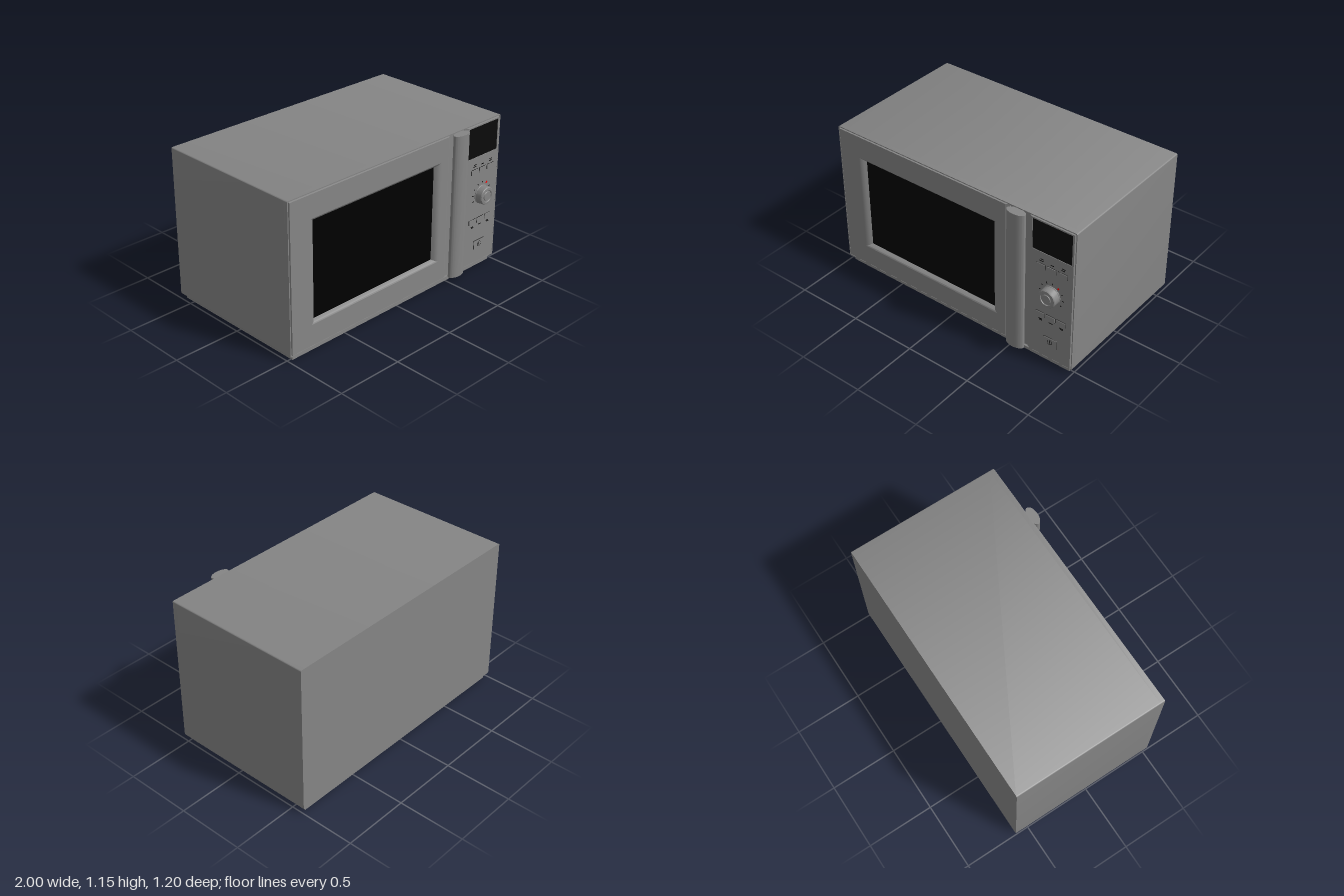
import * as THREE from 'three';
import { toCreasedNormals } from 'three/addons/utils/BufferGeometryUtils.js';

const grey = new THREE.MeshStandardMaterial({ color: 0x858585 });
const black = new THREE.MeshStandardMaterial({ color: 0x000000 });
const displayBlack = new THREE.MeshStandardMaterial({ color: 0x0a0a0a });
const red = new THREE.MeshStandardMaterial({ color: 0xff0000 });

// rounded rectangle outline
function roundRect(Type, x0, y0, x1, y1, r) {
  const s = new Type();
  s.moveTo(x0 + r, y0).lineTo(x1 - r, y0);
  s.absarc(x1 - r, y0 + r, r, -Math.PI / 2, 0);
  s.absarc(x1 - r, y1 - r, r, 0, Math.PI / 2);
  s.absarc(x0 + r, y1 - r, r, Math.PI / 2, Math.PI);
  s.absarc(x0 + r, y0 + r, r, Math.PI, Math.PI * 1.5);
  return s;
}

// surface through successive rectangles [x0, y0, x1, y1, z], outermost first
function rectLoft(rings) {
  const pos = [];
  const corners = ([x0, y0, x1, y1, z]) => [[x0, y0, z], [x1, y0, z], [x1, y1, z], [x0, y1, z]];
  for (let k = 0; k < rings.length - 1; k++) {
    const a = corners(rings[k]), b = corners(rings[k + 1]);
    for (let i = 0; i < 4; i++) {
      const j = (i + 1) % 4;
      pos.push(...a[i], ...a[j], ...b[j], ...a[i], ...b[j], ...b[i]);
    }
  }
  const g = new THREE.BufferGeometry();
  g.setAttribute('position', new THREE.Float32BufferAttribute(pos, 3));
  return toCreasedNormals(g, 0.45);
}

export function createModel() {
  const model = new THREE.Group();
  const add = (name, geo, mat = grey, x = 0, y = 0, z = 0, parent = model) => {
    const m = new THREE.Mesh(geo, mat);
    m.name = name;
    m.position.set(x, y, z);
    parent.add(m);
    return m;
  };
  const box = (name, x0, x1, y0, y1, z0, z1, mat = grey, parent = model) =>
    add(name, new THREE.BoxGeometry(x1 - x0, y1 - y0, z1 - z0), mat,
      (x0 + x1) / 2, (y0 + y1) / 2, (z0 + z1) / 2, parent);
  const extrude = (shape, depth) => toCreasedNormals(new THREE.ExtrudeGeometry(shape,
    { depth, bevelEnabled: false, curveSegments: 6 }), 0.5);

  // Casing, with a thin rim standing around the front
  add('casing', extrude(roundRect(THREE.Shape, -1, 0.038, 1, 1.146, 0.01), 1.1), grey, 0, 0, -0.6);
  const rim = roundRect(THREE.Shape, -1, 0.038, 1, 1.146, 0.01);
  rim.holes.push(roundRect(THREE.Path, -0.993, 0.045, 0.993, 1.139, 0.006));
  add('casingRim', extrude(rim, 0.035), grey, 0, 0, 0.5);
  box('base', -0.967, 0.967, 0, 0.04, -0.58, 0.515);
  box('handleChannel', 0.46, 0.67, 0.048, 1.136, 0.495, 0.522);

  // Door with a softly sloped window recess and a chamfered handle side
  add('door', rectLoft([
    [-0.99, 0.048, 0.482, 1.136, 0.5],
    [-0.99, 0.048, 0.482, 1.136, 0.525],
    [-0.986, 0.052, 0.452, 1.132, 0.54],
    [-0.98, 0.058, 0.445, 1.126, 0.54],
    [-0.828, 0.202, 0.392, 0.972, 0.54],
    [-0.818, 0.208, 0.383, 0.965, 0.54],
    [-0.803, 0.216, 0.368, 0.957, 0.536],
    [-0.788, 0.223, 0.354, 0.947, 0.526],
    [-0.775, 0.23, 0.342, 0.938, 0.508],
  ]));
  box('window', -0.777, 0.344, 0.228, 0.94, 0.495, 0.509, black);

  // Oval door handle
  const oval = new THREE.Shape();
  oval.absellipse(0, 0, 0.072, 0.036, 0, Math.PI * 2);
  const handle = new THREE.ExtrudeGeometry(oval, { depth: 1.086, bevelEnabled: false, curveSegments: 24 });
  handle.rotateX(-Math.PI / 2);
  add('handle', toCreasedNormals(handle, 0.6), grey, 0.556, 0.05, 0.563);

  // Control panel around a slightly sunken display
  const px = 0.825;
  add('controlPanel', rectLoft([
    [0.632, 0.048, 0.99, 1.136, 0.5],
    [0.632, 0.048, 0.99, 1.136, 0.525],
    [0.658, 0.052, 0.986, 1.132, 0.54],
    [0.664, 0.058, 0.98, 1.126, 0.54],
    [0.666, 0.892, 0.972, 1.122, 0.54],
    [0.667, 0.893, 0.971, 1.121, 0.536],
  ]));
  box('display', 0.665, 0.973, 0.891, 1.123, 0.51, 0.537, displayBlack);

  // Raised button with a shallow groove around it
  function button(name, x, y, w, h) {
    const g = new THREE.Group();
    g.name = name;
    g.position.set(x, y, 0.54);
    model.add(g);
    const frame = roundRect(THREE.Shape, -w / 2, -h / 2, w / 2, h / 2, 0.004);
    const e = 0.0025;
    frame.holes.push(roundRect(THREE.Path, -w / 2 + e, -h / 2 + e, w / 2 - e, h / 2 - e, 0.002));
    add('buttonGroove', extrude(frame, 0.001), black, 0, 0, 0, g);
    add('buttonCap', extrude(roundRect(THREE.Shape, -w / 2 + e, -h / 2 + e, w / 2 - e, h / 2 - e, 0.002), 0.005),
      grey, 0, 0, 0, g);
    return g;
  }
  // Two button rows with small plain markers
  for (const [row, y, side] of [['upper', 0.784, 1], ['lower', 0.392, -1]]) {
    [-0.084, 0, 0.084].forEach((dx, i) => {
      const x = px + dx;
      button(row + 'Button' + (i + 1), x, y, 0.074, 0.04);
      const my = y + side * 0.04;
      box('buttonMarker', x - 0.014, x + 0.014, my - 0.003, my + 0.003, 0.539, 0.541, black);
      if (i !== 1) box('buttonMarker', x - 0.008, x + 0.016, my + side * 0.011, my + side * 0.011 + 0.005, 0.539, 0.541, black);
    });
  }
  const start = button('startButton', px, 0.193, 0.112, 0.068);
  add('startRing', new THREE.TorusGeometry(0.019, 0.0015, 6, 24), black, 0, 0, 0.005, start);
  box('startMark', -0.002, 0.002, -0.011, 0.011, 0.004, 0.006, black, start);

  // Rotary knob, turned about z
  const profile = [[0.07, 0], [0.07, 0.006], [0.067, 0.008], [0.066, 0.052], [0.062, 0.058],
    [0.046, 0.06], [0.043, 0.054], [0.035, 0.054], [0.032, 0.059], [0, 0.06]]
    .map(([r, h]) => new THREE.Vector2(r, h));
  const knob = new THREE.LatheGeometry(profile, 40);
  knob.rotateX(Math.PI / 2);
  add('knob', toCreasedNormals(knob, 0.5), grey, px, 0.589, 0.54);

  // Tick marks around the knob, one of them red
  for (let i = 0; i < 9; i++) {
    const a = THREE.MathUtils.degToRad(-35 + i * 30);
    const isRed = i === 3;
    const tick = add('knobTick', new THREE.BoxGeometry(isRed ? 0.016 : 0.012, isRed ? 0.012 : 0.005, 0.002),
      isRed ? red : black, px + Math.cos(a) * 0.092, 0.589 + Math.sin(a) * 0.092, 0.5405);
    tick.rotation.z = a;
  }
  return model;
}
